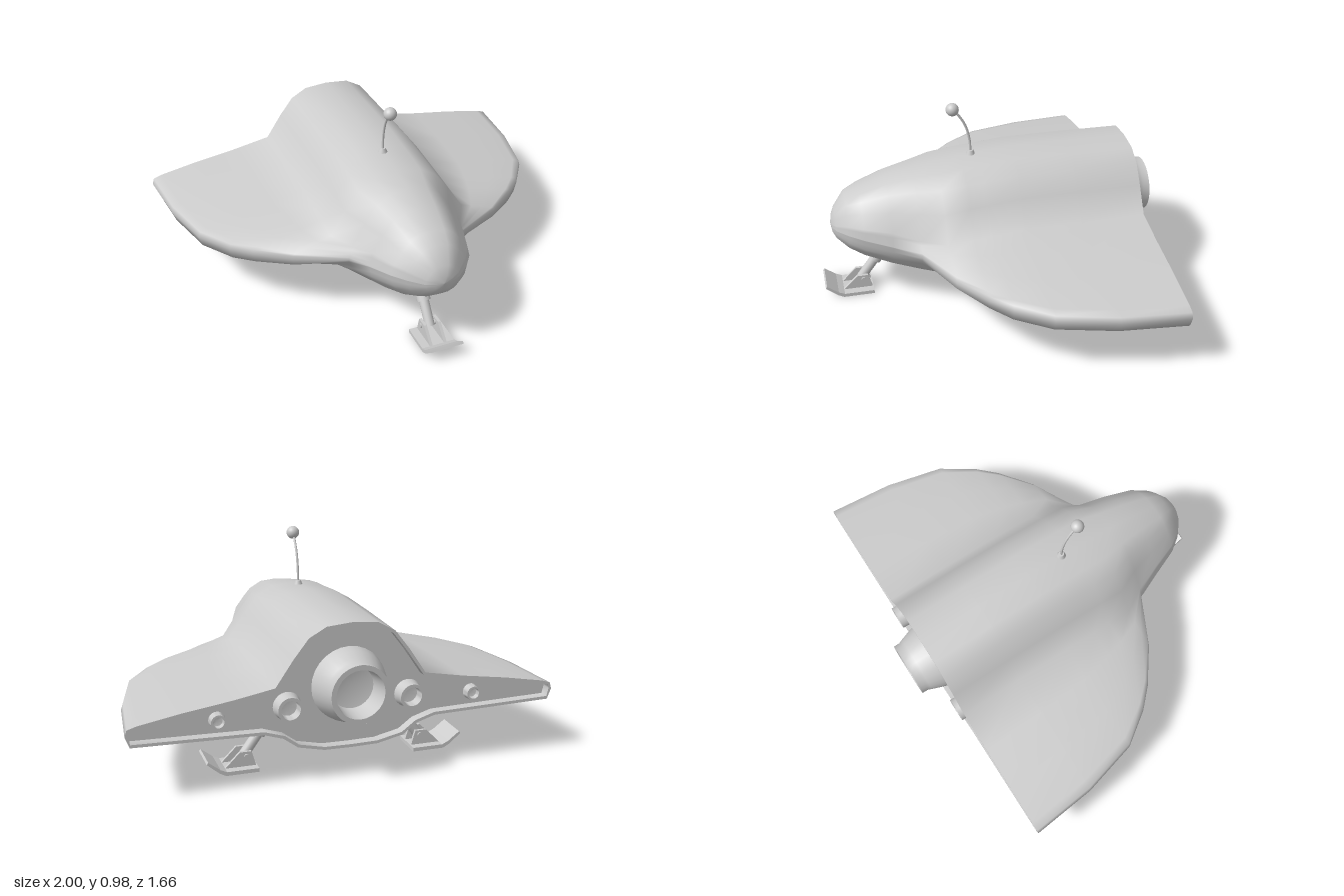
import * as THREE from 'three';
import { toCreasedNormals } from 'three/addons/utils/BufferGeometryUtils.js';

const grey = new THREE.MeshStandardMaterial({ color: 0xcccccc });
const greyDouble = new THREE.MeshStandardMaterial({ color: 0xcccccc, side: THREE.DoubleSide });
const lerp = THREE.MathUtils.lerp;

function add(parent, name, geometry, material = grey) {
  const mesh = new THREE.Mesh(geometry, material);
  mesh.name = name;
  parent.add(mesh);
  return mesh;
}

// Hull stations, nose to tail:
// z, top, bottom, half span, wing root top, wing root bottom, edge height, wing thickness
const STATIONS = [
  [0.778, 0.40, 0.40, 0, 0.40, 0.40, 0.40, 0],
  [0.772, 0.44, 0.36, 0.045, 0.415, 0.385, 0.40, 0],
  [0.755, 0.48, 0.33, 0.085, 0.425, 0.375, 0.40, 0],
  [0.70, 0.555, 0.285, 0.15, 0.45, 0.355, 0.405, 0],
  [0.63, 0.585, 0.25, 0.20, 0.455, 0.335, 0.40, 0],
  [0.50, 0.635, 0.20, 0.25, 0.445, 0.305, 0.375, 0],
  [0.37, 0.665, 0.165, 0.30, 0.41, 0.28, 0.34, 0.2],
  [0.25, 0.685, 0.155, 0.54, 0.415, 0.265, 0.33, 0.6],
  [0.13, 0.702, 0.147, 0.70, 0.43, 0.255, 0.325, 0.85],
  [0.04, 0.708, 0.142, 0.79, 0.44, 0.25, 0.32, 1],
  [-0.12, 0.724, 0.132, 0.90, 0.455, 0.247, 0.318, 1],
  [-0.40, 0.724, 0.128, 0.97, 0.458, 0.245, 0.313, 1],
  [-0.72, 0.72, 0.14, 1.0, 0.455, 0.245, 0.31, 1],
];

// One closed cross-section: crown, shoulder, wing, edge, underside, keel
function section([z, top, bottom, span, rootTop, rootBottom, edge, thick]) {
  const rx = Math.min(0.35, 0.93 * span);
  const half = [[0, top]];
  for (const [u, v] of [[0.34, 0.96], [0.57, 0.79], [0.77, 0.45], [1, 0]])
    half.push([rx * u, lerp(rootTop, top, v)]);
  for (const [u, bulge] of [[0.3, 0.008], [0.62, 0.024], [0.92, 0.032], [0.985, 0.028]])
    half.push([lerp(rx, span, u), lerp(rootTop, edge, u) + bulge * thick]);
  half.push([span, edge]);
  const low = edge - 0.05 * thick;
  for (const u of [0.97, 0.55, 0.08])
    half.push([lerp(rx, span, u), lerp(rootBottom, low, u)]);
  for (const [u, v] of [[0.9, 0.25], [0.71, 0.72], [0.36, 0.98]])
    half.push([rx * u, lerp(rootBottom, bottom, v)]);
  half.push([0, bottom]);
  const mirrored = half.slice(1, -1).reverse().map(([x, y]) => [-x, y]);
  return [...half, ...mirrored].map(([x, y]) => new THREE.Vector3(x, y, z));
}

// Skin between closed rings
function loft(rings) {
  const n = rings[0].length;
  const index = [];
  for (let i = 0; i < rings.length - 1; i++)
    for (let j = 0; j < n; j++) {
      const a = i * n + j, b = i * n + (j + 1) % n;
      index.push(a, b, a + n, b, b + n, a + n);
    }
  const geometry = new THREE.BufferGeometry().setFromPoints(rings.flat());
  geometry.setIndex(index);
  geometry.computeVertexNormals();
  return geometry;
}

// Ring moved inward by a fixed distance at depth z
function inset(ring, distance, z) {
  const n = ring.length;
  return ring.map((p, i) => {
    const t = ring[(i + 1) % n].clone().sub(ring[(i + n - 1) % n]).normalize();
    return new THREE.Vector3(p.x + t.y * distance, p.y - t.x * distance, z);
  });
}

// Engine nozzle turned around z, pointing backwards
function nozzle(parent, name, profile, x, y) {
  const lathe = new THREE.LatheGeometry(profile.map(([r, d]) => new THREE.Vector2(r, d)), 28);
  lathe.rotateX(-Math.PI / 2);
  add(parent, name, toCreasedNormals(lathe, 0.6), greyDouble).position.set(x, y, 0);
}

// Side profile (z, y) extruded across x
function sidePlate(points, width) {
  const shape = new THREE.Shape(points.map(([z, y]) => new THREE.Vector2(z, y)));
  const geometry = new THREE.ExtrudeGeometry(shape, { depth: width, bevelEnabled: false });
  return geometry.translate(0, 0, -width / 2).rotateY(-Math.PI / 2);
}

function strut(parent, name, from, to, radius) {
  const a = new THREE.Vector3(0, ...from), b = new THREE.Vector3(0, ...to);
  const mesh = add(parent, name, new THREE.CylinderGeometry(radius, radius, a.distanceTo(b), 16));
  mesh.position.copy(a).lerp(b, 0.5);
  mesh.quaternion.setFromUnitVectors(new THREE.Vector3(0, 1, 0), b.sub(a).normalize());
}

// Landing leg with its toe towards +z
function landingLeg(name) {
  const leg = new THREE.Group();
  leg.name = name;
  add(leg, 'skid', sidePlate([[-0.08, 0], [0.075, 0], [0.105, 0.016], [0.163, 0.065],
    [0.156, 0.075], [0.1, 0.032], [0.07, 0.018], [-0.08, 0.018]], 0.166));
  for (const side of [-1, 1])
    add(leg, 'bracket', sidePlate([[-0.075, 0.018], [0.07, 0.018], [0, 0.088], [-0.055, 0.088]], 0.014))
      .position.x = side * 0.036;
  const pin = add(leg, 'pin', new THREE.CylinderGeometry(0.012, 0.012, 0.1, 12));
  pin.rotation.z = Math.PI / 2;
  pin.position.set(0, 0.066, -0.032);
  strut(leg, 'lowerStrut', [0.055, -0.025], [0.17, -0.108], 0.024);
  strut(leg, 'upperStrut', [0.155, -0.098], [0.27, -0.18], 0.033);
  return leg;
}

export function createModel() {
  const model = new THREE.Group();
  model.name = 'spacecraft';

  // Hull and recessed tail
  const rings = STATIONS.map(section);
  const tail = rings[rings.length - 1];
  const inner = inset(tail, 0.014, -0.72);
  const back = inset(tail, 0.014, -0.675);
  add(model, 'hull', loft(rings));
  add(model, 'tailRim', loft([tail, inner]), greyDouble);
  add(model, 'tailRecess', loft([inner, back]), greyDouble);
  const panel = new THREE.ShapeGeometry(new THREE.Shape(back.map(p => new THREE.Vector2(p.x, p.y))));
  add(model, 'tailPanel', panel, greyDouble).position.z = -0.675;

  // Engines
  nozzle(model, 'mainEngine', [[0.175, 0.67], [0.165, 0.72], [0.142, 0.785], [0.135, 0.8],
    [0.135, 0.832], [0.112, 0.832], [0.1, 0.72], [0, 0.70]], 0, 0.425);
  for (const side of [-1, 1]) {
    nozzle(model, 'sideEngine', [[0.066, 0.67], [0.058, 0.71], [0.058, 0.737], [0.044, 0.737],
      [0.04, 0.69], [0, 0.685]], side * 0.285, 0.352);
    nozzle(model, 'thruster', [[0.038, 0.67], [0.034, 0.69], [0.034, 0.715], [0.025, 0.715],
      [0.023, 0.69], [0, 0.685]], side * 0.6, 0.325);
  }

  // Antenna
  const antenna = new THREE.Group();
  antenna.name = 'antenna';
  const path = new THREE.CatmullRomCurve3([[0.7, 0.07], [0.78, 0.074], [0.86, 0.094],
    [0.915, 0.125], [0.95, 0.155]].map(([y, z]) => new THREE.Vector3(0, y, z)));
  add(antenna, 'mast', new THREE.TubeGeometry(path, 20, 0.006, 8));
  add(antenna, 'mastBase', new THREE.CylinderGeometry(0.014, 0.023, 0.022, 16)).position.set(0, 0.714, 0.07);
  add(antenna, 'antennaBall', new THREE.SphereGeometry(0.032, 20, 14)).position.set(0, 0.952, 0.157);
  model.add(antenna);

  // Landing gear
  const frontLeg = landingLeg('frontLeg');
  frontLeg.position.z = 0.67;
  model.add(frontLeg);
  for (const side of [-1, 1]) {
    const leg = landingLeg(side > 0 ? 'leftLeg' : 'rightLeg');
    leg.position.set(side * 0.46, 0, -0.47);
    leg.rotation.y = side * Math.PI / 2;
    model.add(leg);
  }
  return model;
}
